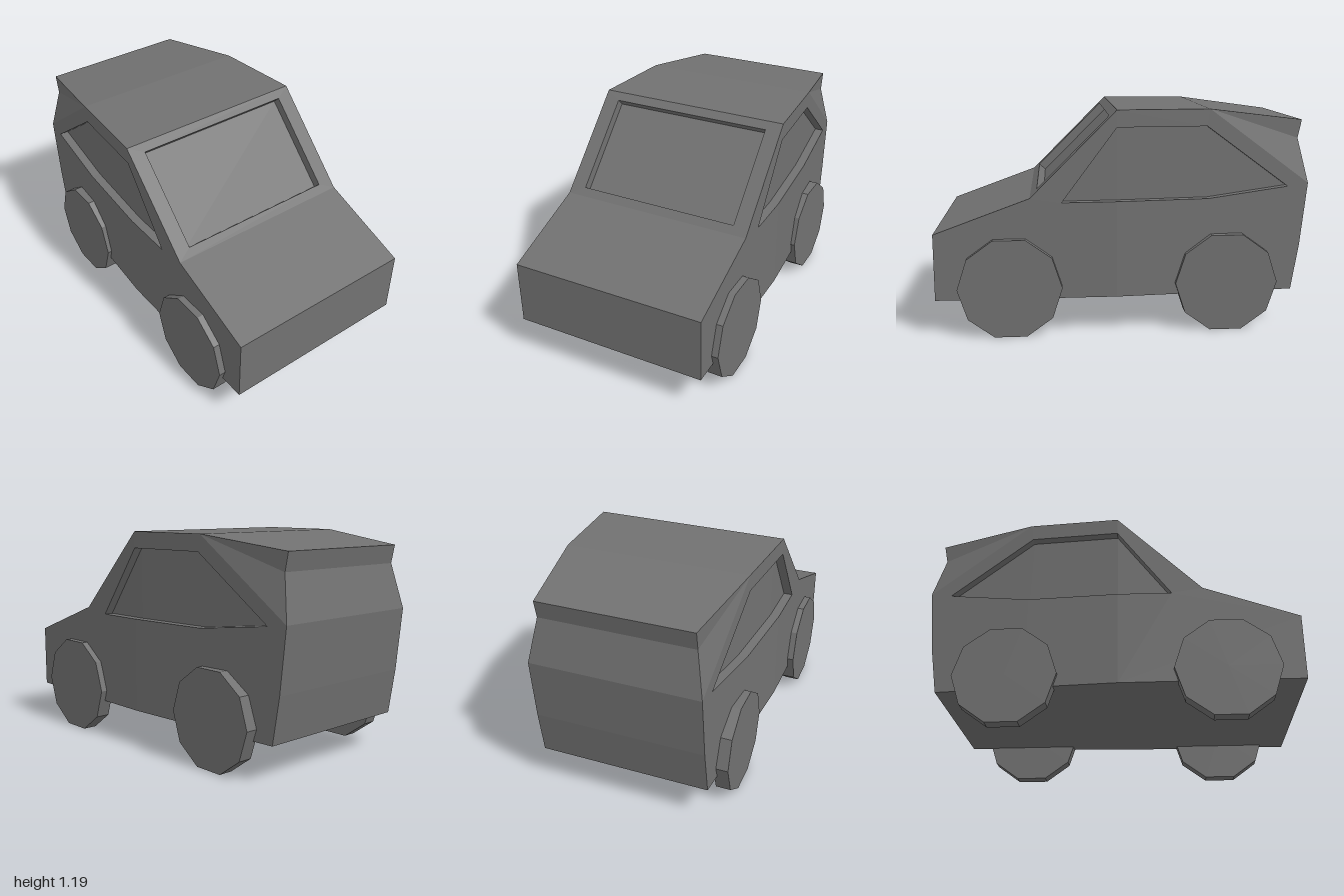
import * as THREE from 'three';

const material = new THREE.MeshStandardMaterial({ color: 0x717171, flatShading: true });

// Half width of the body: full at the nose, tapering to the tail, tucked in at the roof's rear edge
function halfWidth([x, y]) {
  if (x < -0.9 && y > 1) return 0.418;
  if (x >= 0.04) return 0.54;
  if (x >= -0.45) return THREE.MathUtils.mapLinear(x, -0.45, 0.04, 0.505, 0.54);
  return THREE.MathUtils.mapLinear(x, -1, -0.45, 0.462, 0.505);
}
const onSide = (p, s, inset = 0) => [p[0], p[1], s * (halfWidth(p) - inset)];

// Collects flat polygons into one mesh
class Faces {
  constructor() { this.data = []; }
  tri(a, b, c) { this.data.push(...a, ...b, ...c); }
  quad(a, b, c, d) { this.tri(a, b, c); this.tri(a, c, d); }
  // band between two matching closed loops
  ring(outer, inner) {
    outer.forEach((p, i) => {
      const j = (i + 1) % outer.length;
      this.quad(p, outer[j], inner[j], inner[i]);
    });
  }
  // outline in x and y laid on the left (s = 1) or right (s = -1) flank
  flank(outline, s, inset = 0) {
    const pts = outline.map(p => new THREE.Vector2(...p));
    for (const f of THREE.ShapeUtils.triangulateShape(pts, [])) {
      if (s < 0) f.reverse();
      this.tri(...f.map(i => onSide(outline[i], s, inset)));
    }
  }
  mesh(name) {
    const g = new THREE.BufferGeometry();
    g.setAttribute('position', new THREE.Float32BufferAttribute(this.data, 3));
    g.computeVertexNormals();
    const m = new THREE.Mesh(g, material);
    m.name = name;
    return m;
  }
}

export function createModel() {
  const car = new THREE.Group();
  car.name = 'car';
  const depth = 0.05;

  // Body outline seen from the flank, counter-clockwise from the underside
  const shoulder = [-1, 0.79], tail = [shoulder, [-0.965, 0.45], [-0.925, 0.2]];
  const spoiler = [-0.965, 1.128], notch = [-0.945, 1.03], roofBack = [-0.45, 1.195];
  const roofFront = [0.04, 1.195], cowl = [0.495, 0.74];
  const nose = [[1, 0.2], [1, 0.555]];
  const floorBack = [-0.45, 0.2], floorFront = [0.04, 0.2];
  const outline = [floorBack, floorFront, ...nose, cowl, roofFront, roofBack, spoiler, notch, ...tail];

  // Side window corners, counter-clockwise
  const wTip = [-0.887, 0.775], wLowBack = [-0.45, 0.72], wLowFront = [0.04, 0.717];
  const wNose = [0.33, 0.715], wTopFront = [0.04, 1.105], wTopBack = [-0.437, 1.105];
  const windowLoop = [wTip, wLowBack, wLowFront, wNose, wTopFront, wTopBack];

  // Floor, nose, bonnet, roof and tail
  const shell = new Faces();
  outline.forEach((a, i) => {
    if (a === cowl) return;
    const b = outline[(i + 1) % outline.length];
    shell.quad(onSide(a, 1), onSide(a, -1), onSide(b, -1), onSide(b, 1));
  });

  // Windscreen frame and its recess
  const rect = (a, b, z, d = 0) => {
    const k = d * Math.SQRT1_2;
    return [[a, z], [a, -z], [b, -z], [b, z]].map(([p, w]) => [p[0] - k, p[1] - k, w]);
  };
  const low = [0.459, 0.776], high = [0.076, 1.159];
  const opening = rect(low, high, 0.454), pane = rect(low, high, 0.454, depth);
  shell.ring(rect(cowl, roofFront, 0.54), opening);
  shell.ring(opening, pane);

  const windscreen = new Faces();
  windscreen.quad(...pane);
  car.add(windscreen.mesh('windscreen'));

  // Flanks with recessed side windows
  for (const s of [1, -1]) {
    shell.flank([floorFront, ...nose, cowl, roofFront, wTopFront, wNose, wLowFront], s);
    shell.flank([floorBack, floorFront, wLowFront, wLowBack], s);
    shell.flank([wTopBack, wTopFront, roofFront, roofBack], s);
    shell.flank([floorBack, wLowBack, wTip, wTopBack, roofBack, ...tail], s);
    // tucked-in rear pillar
    shell.flank([roofBack, notch, shoulder], s);
    shell.flank([roofBack, spoiler, notch], s);

    const loop = s > 0 ? windowLoop : [...windowLoop].reverse();
    shell.ring(loop.map(p => onSide(p, s)), loop.map(p => onSide(p, s, depth)));

    const glass = new Faces();
    glass.flank([wTip, wLowBack, wTopBack], s, depth);
    glass.flank([wLowBack, wLowFront, wTopFront, wTopBack], s, depth);
    glass.flank([wLowFront, wNose, wTopFront], s, depth);
    car.add(glass.mesh(s > 0 ? 'leftSideWindow' : 'rightSideWindow'));
  }
  car.add(shell.mesh('body'));

  // Ten-sided wheels
  const tyre = new THREE.CylinderGeometry(0.276, 0.276, 0.08, 10, 1, false, Math.PI / 2).rotateX(Math.PI / 2);
  for (const [name, x, z] of [['frontWheel', 0.606, 0.536], ['rearWheel', -0.551, 0.501]]) {
    for (const s of [1, -1]) {
      const wheel = new THREE.Mesh(tyre, material);
      wheel.name = name;
      wheel.position.set(x, 0.264, s * z);
      car.add(wheel);
    }
  }
  return car;
}
